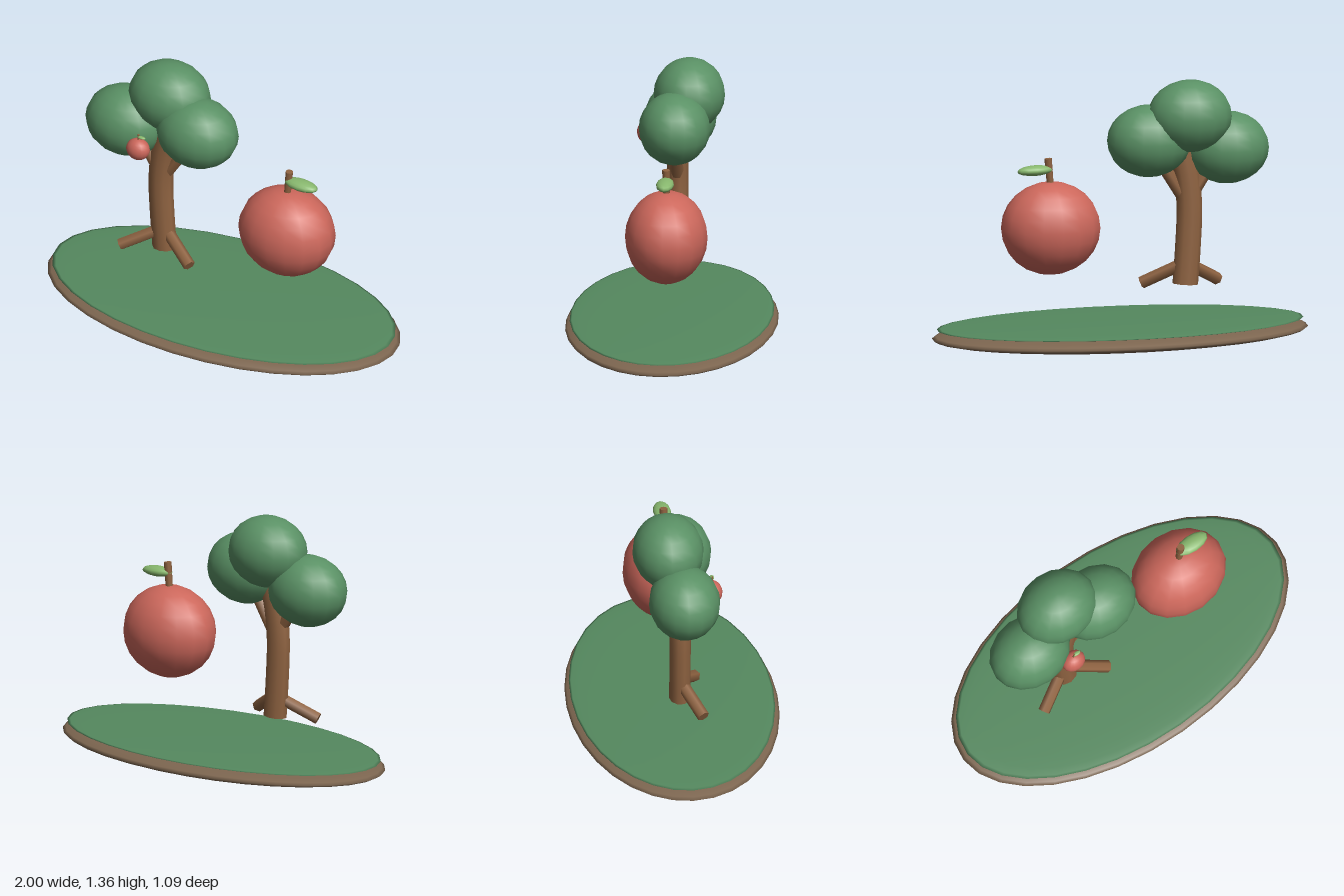
import * as THREE from 'three';

const paint = (color) => new THREE.MeshStandardMaterial({ color });
const earth = paint(0x7d6650), grass = paint(0x55895f), foliage = paint(0x5a9165);
const bark = paint(0x8f6341), red = paint(0xcc675b), leafGreen = paint(0x88b86e);
const DEPTH = 0.82; // round wooden parts are slightly flattened in z

function add(parent, name, geometry, material) {
  const mesh = new THREE.Mesh(geometry, material);
  mesh.name = name;
  parent.add(mesh);
  return mesh;
}

function ellipsoid(parent, name, material, pos, radii, w = 16, h = 12) {
  const mesh = add(parent, name, new THREE.SphereGeometry(1, w, h), material);
  mesh.position.set(...pos);
  mesh.scale.set(...radii);
  return mesh;
}

// Straight tapered rod between two points
function rod(parent, name, material, from, to, r0, r1, sides = 6) {
  const a = new THREE.Vector3(...from), b = new THREE.Vector3(...to);
  const dir = b.clone().sub(a);
  const mesh = add(parent, name, new THREE.CylinderGeometry(r1, r0, dir.length(), sides), material);
  mesh.position.copy(a).add(b).multiplyScalar(0.5);
  mesh.quaternion.setFromUnitVectors(new THREE.Vector3(0, 1, 0), dir.normalize());
  return mesh;
}

// Apple with stem and leaf, centred on its own origin
function makeApple(name) {
  const apple = new THREE.Group();
  apple.name = name;
  ellipsoid(apple, 'appleBody', red, [0, 0, 0], [0.262, 0.241, 0.213]);
  rod(apple, 'appleStem', bark, [0, 0.2, 0], [0.014, 0.362, 0], 0.018, 0.02, 8);
  const leaf = ellipsoid(apple, 'appleLeaf', leafGreen, [0.084, 0.303, 0], [0.096, 0.027, 0.046], 12, 8);
  leaf.rotation.z = -0.03;
  return apple;
}

function makeTree() {
  const tree = new THREE.Group();
  tree.name = 'tree';

  // Gently bent trunk with a closed foot
  const path = new THREE.CatmullRomCurve3([
    [-0.352, 0.294], [-0.366, 0.48], [-0.374, 0.7], [-0.358, 0.86], [-0.325, 1.0],
  ].map(([x, y]) => new THREE.Vector3(x, y, 0)));
  add(tree, 'trunk', new THREE.TubeGeometry(path, 16, 0.067, 10), bark).scale.z = DEPTH;
  const foot = add(tree, 'trunkFoot', new THREE.CircleGeometry(0.067, 10), bark);
  foot.rotation.x = Math.PI / 2;
  foot.position.set(-0.352, 0.294, 0);
  foot.scale.y = DEPTH;

  // Two front roots and two branches into the crown
  for (const s of [-1, 1]) {
    rod(tree, 'root', bark, [-0.353 + s * 0.01, 0.4, 0], [-0.353 + s * 0.206, 0.294, 0.1], 0.032, 0.032);
    rod(tree, 'branch', bark, [-0.36 + s * 0.01, 0.73, 0], [-0.36 + s * 0.17, 0.98, 0], 0.034, 0.034);
  }

  // Crown of three overlapping balls
  for (const [x, y, z] of [[-0.577, 0.994, 0], [-0.157, 1.048, 0], [-0.357, 1.177, -0.061]]) {
    ellipsoid(tree, 'foliage', foliage, [x, y, z], [0.221, 0.187, 0.184]);
  }

  // Small fruit hanging at the front of the crown
  const fruit = makeApple('smallApple');
  fruit.position.set(-0.417, 0.953, 0.161);
  fruit.scale.setScalar(0.245);
  tree.add(fruit);
  return tree;
}

export function createModel() {
  const model = new THREE.Group();
  model.name = 'appleTreeIsland';

  // Flattened island with a grass layer
  ellipsoid(model, 'ground', earth, [0, 0.06, 0], [1, 0.06, 0.545], 32, 16);
  ellipsoid(model, 'grass', grass, [0, 0.107, 0], [0.975, 0.016, 0.522], 32, 16);

  model.add(makeTree());

  const bigApple = makeApple('bigApple');
  bigApple.position.set(0.374, 0.621, 0);
  model.add(bigApple);
  return model;
}
